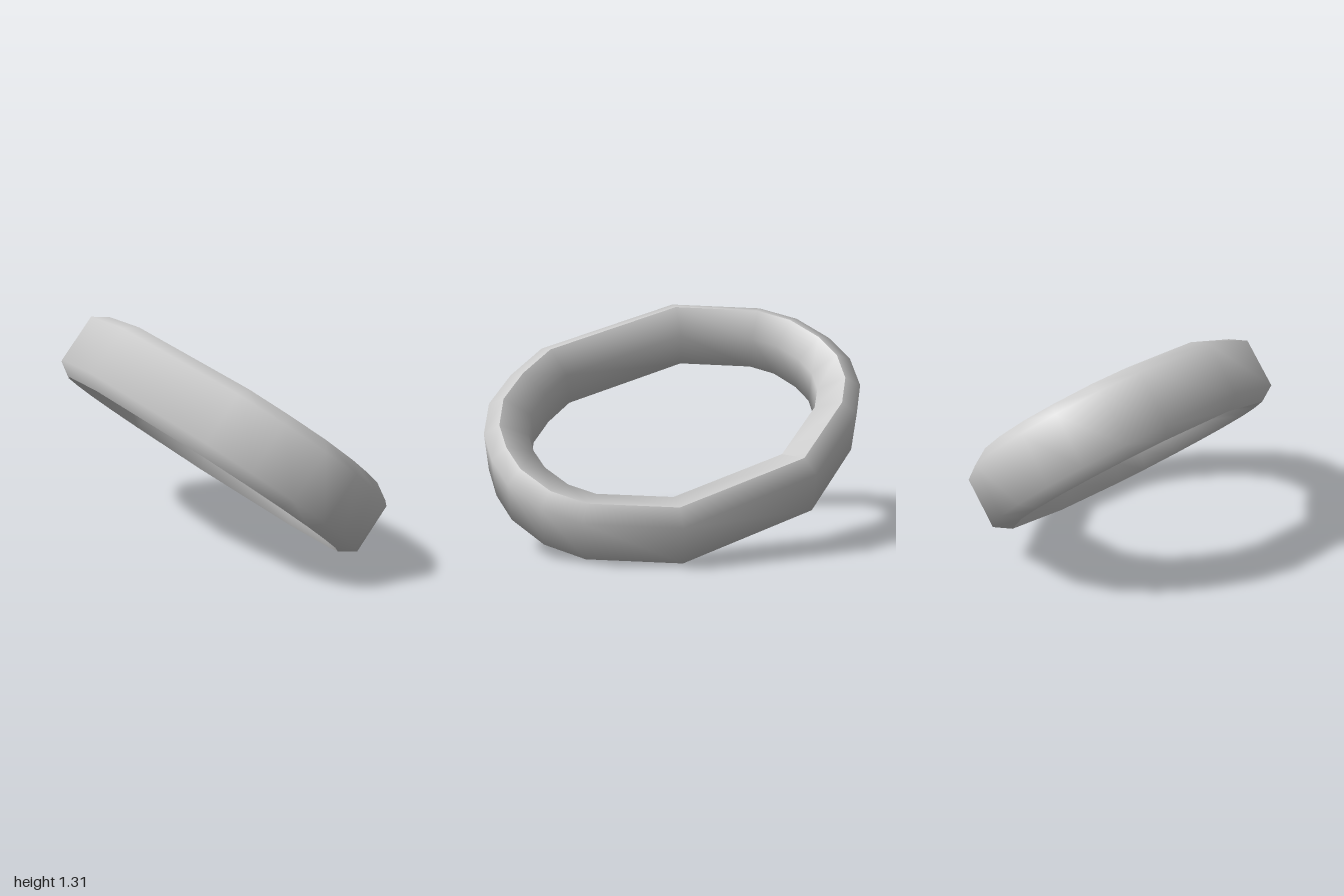
import * as THREE from 'three';
import { toCreasedNormals } from 'three/addons/utils/BufferGeometryUtils.js';

// Plan outline of the band's outer wall as [x, z]; height follows the tilted plane.
const OUTLINE = [
  [0.03, -0.87], [0.61, -0.35], [0.82, 0.13], [0.85, 0.37], [0.81, 0.6], [0.73, 0.75],
  [0.62, 0.87], [0.45, 0.945], [0.24, 0.93], [0.01, 0.86], [-0.61, 0.3], [-0.82, -0.19],
  [-0.85, -0.42], [-0.81, -0.64], [-0.73, -0.8], [-0.59, -0.91], [-0.41, -0.95],
];
const SLOPE_X = -0.7, SLOPE_Z = 0.345, CENTRE_Y = 0.667;

// Cross-section as [depth inward, height along the axis]: ridged rims, bevelled on both sides.
const SECTION = [
  [0, 0.15], [0.09, 0.21], [0.24, 0.115],
  [0.24, -0.115], [0.09, -0.21], [0, -0.15],
];

function bandGeometry() {
  const axis = new THREE.Vector3(-SLOPE_X, 1, -SLOPE_Z).normalize();
  const path = OUTLINE.map(([x, z]) => new THREE.Vector3(x, CENTRE_Y + SLOPE_X * x + SLOPE_Z * z, z));
  const n = path.length, m = SECTION.length;
  const positions = [], index = [];

  path.forEach((p, i) => {
    // Mitred inward direction between the two neighbouring walls
    const before = p.clone().sub(path[(i + n - 1) % n]).normalize().cross(axis);
    const after = path[(i + 1) % n].clone().sub(p).normalize().cross(axis);
    const inward = before.clone().add(after).normalize();
    inward.divideScalar(inward.dot(after));

    SECTION.forEach(([depth, height], j) => {
      const v = p.clone().addScaledVector(inward, depth).addScaledVector(axis, height);
      positions.push(v.x, v.y, v.z);
      const i2 = (i + 1) % n, j2 = (j + 1) % m;
      const a = i * m + j, b = i * m + j2, c = i2 * m + j2, d = i2 * m + j;
      index.push(a, b, c, a, c, d);
    });
  });

  const geometry = new THREE.BufferGeometry();
  geometry.setAttribute('position', new THREE.Float32BufferAttribute(positions, 3));
  geometry.setIndex(index);
  // Only the rim ridges stay sharp
  return toCreasedNormals(geometry, 1.1);
}

export function createModel() {
  const model = new THREE.Group();
  model.name = 'tiltedLink';
  const band = new THREE.Mesh(bandGeometry(), new THREE.MeshStandardMaterial({ color: 0xcccccc }));
  band.name = 'band';
  model.add(band);
  return model;
}
